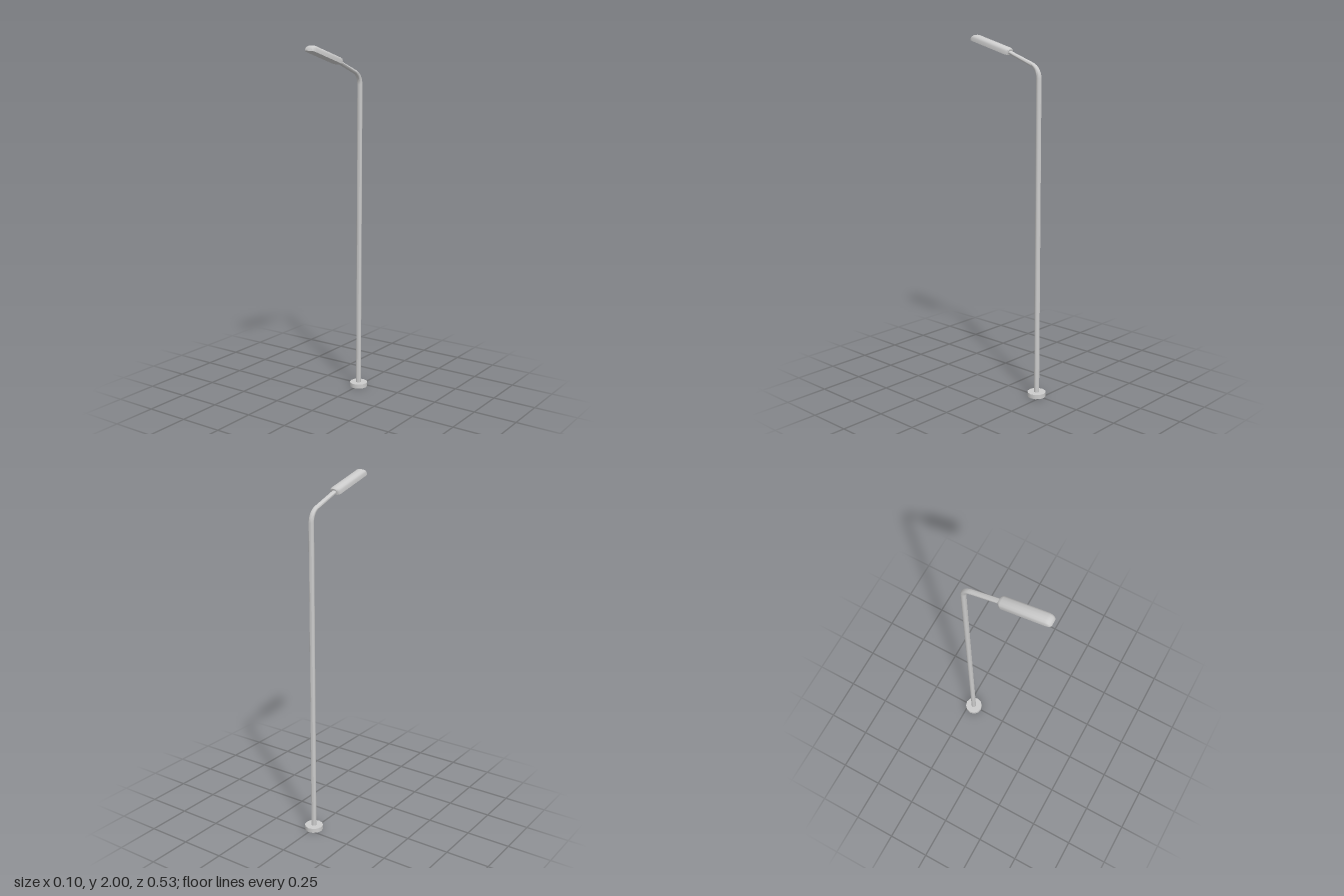
import * as THREE from 'three';
import { toCreasedNormals } from 'three/addons/utils/BufferGeometryUtils.js';

const material = new THREE.MeshStandardMaterial({ color: 0xcccccc, side: THREE.DoubleSide });

// Skin a row of equal-length rings, closing both ends
function loft(rings, crease) {
  const n = rings[0].length;
  const index = [];
  for (let i = 0; i < rings.length - 1; i++) {
    for (let j = 0; j < n; j++) {
      const k = (j + 1) % n;
      const a = i * n + j, b = i * n + k, c = b + n, d = a + n;
      index.push(a, b, c, a, c, d);
    }
  }
  const last = (rings.length - 1) * n;
  for (let j = 1; j < n - 1; j++) {
    index.push(0, j + 1, j, last, last + j, last + j + 1);
  }
  const geometry = new THREE.BufferGeometry().setFromPoints(rings.flat());
  geometry.setIndex(index);
  return toCreasedNormals(geometry, crease);
}

function addMesh(parent, name, geometry) {
  const mesh = new THREE.Mesh(geometry, material);
  mesh.name = name;
  parent.add(mesh);
  return mesh;
}

export function createModel() {
  const model = new THREE.Group();
  model.name = 'streetLight';
  const poleZ = -0.215;

  // Base collar: twelve-sided drum, open underneath
  const collar = new THREE.LatheGeometry([
    new THREE.Vector2(0.052, 0),
    new THREE.Vector2(0.052, 0.025),
    new THREE.Vector2(0, 0.025),
  ], 12);
  const base = addMesh(model, 'base', toCreasedNormals(collar, 0.7));
  base.position.z = poleZ;

  // Pole: straight shaft, bend, then an arm that flattens towards the lamp
  const radius = 0.0145, bendRadius = 0.076, bendStart = 1.78;
  const lean = THREE.MathUtils.degToRad(70);
  const poleRing = (y, z, angle, thickness) => Array.from({ length: 12 }, (_, j) => {
    const t = (j / 12) * Math.PI * 2;
    const v = Math.sin(t) * thickness;
    return new THREE.Vector3(Math.cos(t) * radius, y + v * Math.sin(angle), z - v * Math.cos(angle));
  });
  const poleRings = [poleRing(0.005, poleZ, 0, radius)];
  const steps = 7;
  for (let i = 0; i <= steps; i++) {
    const a = (lean * i) / steps;
    poleRings.push(poleRing(
      bendStart + bendRadius * Math.sin(a),
      poleZ + bendRadius * (1 - Math.cos(a)),
      a,
      THREE.MathUtils.lerp(radius, 0.011, i / steps),
    ));
  }
  poleRings.push(poleRing(1.91, -0.005, lean, 0.01));
  addMesh(model, 'poleAndArm', loft(poleRings, 0.8));

  // Lamp head: flat underside, domed top, rounded ends
  const half = [[1, 0], [1, 0.5], [0.88, 0.78], [0.55, 0.95]];
  const profile = [...half, [0, 1], ...half.map(([x, y]) => [-x, y]).reverse()];
  // distance along the head, half width, height
  const stations = [
    [0, 0.02, 0.031], [0.006, 0.027, 0.034], [0.016, 0.031, 0.036],
    [0.258, 0.031, 0.036], [0.272, 0.029, 0.031], [0.281, 0.025, 0.024], [0.286, 0.019, 0.014],
  ];
  const lamp = addMesh(model, 'lampHead', loft(
    stations.map(([z, w, h]) => profile.map(([x, y]) => new THREE.Vector3(x * w, y * h, z))),
    0.8,
  ));
  lamp.position.set(0, 1.895, -0.01);
  lamp.rotation.x = -THREE.MathUtils.degToRad(15.2);

  return model;
}
